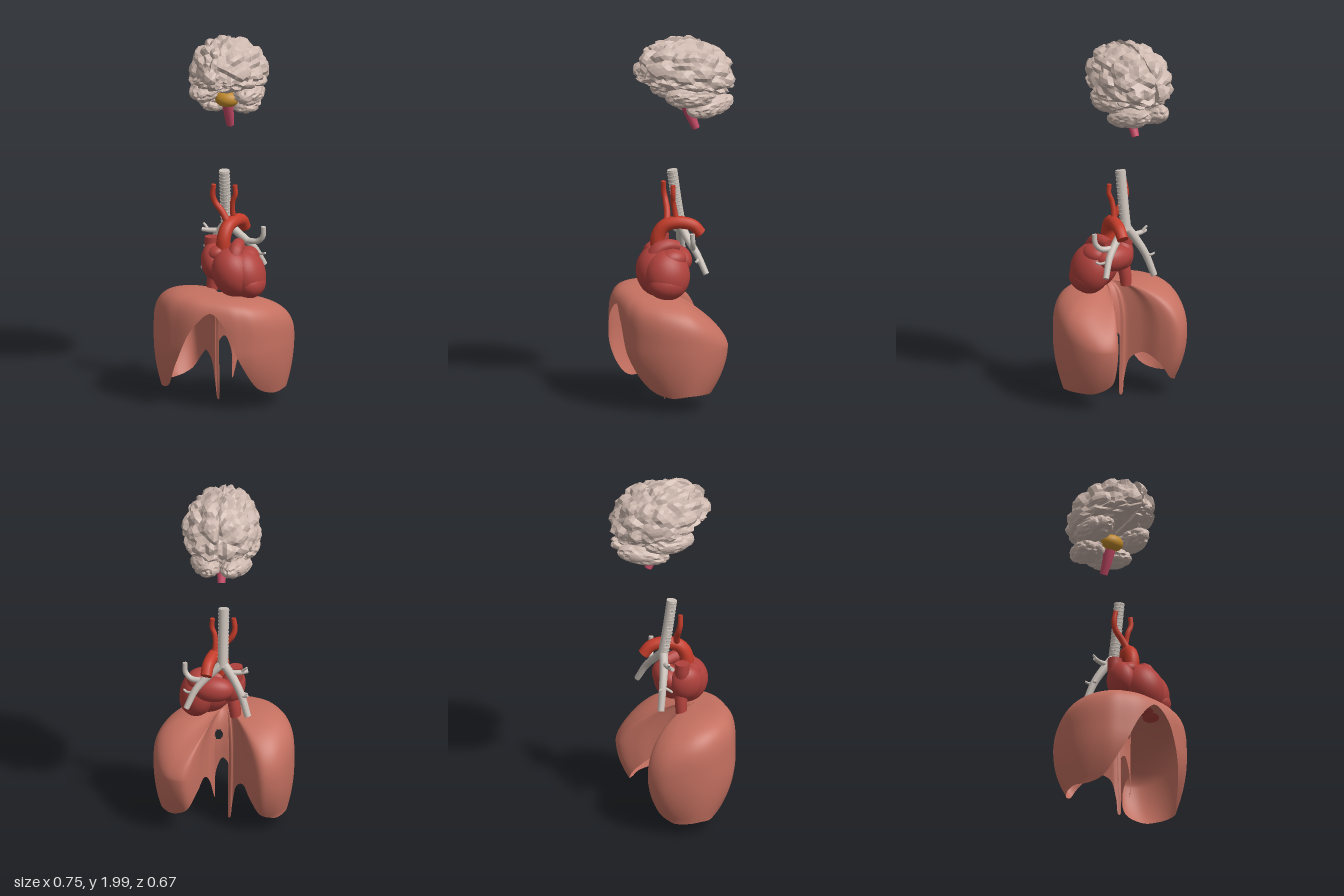
import * as THREE from 'three';

const V = (x, y, z) => new THREE.Vector3(x, y, z);
const mat = (name, color, extra = {}) => {
  const m = new THREE.MeshStandardMaterial({ color, ...extra });
  m.name = name;
  return m;
};

export function createModel() {
  const root = new THREE.Group();
  root.name = 'organs';
  const brainMat = mat('brain tissue', 0xcdb8ae, { flatShading: true });
  const ponsMat = mat('pons amber', 0xc08a2c);
  const stemMat = mat('brainstem pink', 0xc44a66);
  const airwayMat = mat('cartilage', 0xc9c0b8);
  const arteryMat = mat('artery red', 0xc43c2a);
  const heartMat = mat('heart muscle', 0xb0413c);
  const diaphragmMat = mat('diaphragm muscle', 0xc47060, { side: THREE.DoubleSide });

  const group = (name) => {
    const g = new THREE.Group();
    g.name = name;
    root.add(g);
    return g;
  };
  const add = (parent, name, geo, material) => {
    const m = new THREE.Mesh(geo, material);
    m.name = name;
    parent.add(m);
    return m;
  };
  const blob = (parent, name, c, r, material, rz = 0) => {
    const m = add(parent, name, new THREE.SphereGeometry(1, 28, 20), material);
    m.position.set(...c);
    m.scale.set(...r);
    m.rotation.z = rz;
  };
  // Tapering tube through points, closed by flat end discs
  const tube = (parent, name, pts, r0, r1, material) => {
    const curve = new THREE.CatmullRomCurve3(pts.map((p) => V(...p)));
    const n = 28, sides = 14;
    const geo = new THREE.TubeGeometry(curve, n, 1, sides);
    const p = geo.attributes.position, v = V(0, 0, 0);
    for (let i = 0; i < p.count; i++) {
      const t = Math.floor(i / (sides + 1)) / n, c = curve.getPointAt(t);
      v.fromBufferAttribute(p, i).sub(c).multiplyScalar(r0 + (r1 - r0) * t).add(c);
      p.setXYZ(i, v.x, v.y, v.z);
    }
    add(parent, name, geo, material);
    for (const [t, r, s] of [[0, r0, -1], [1, r1, 1]]) {
      const cap = add(parent, name + 'End', new THREE.CircleGeometry(r, sides), material);
      cap.position.copy(curve.getPointAt(t));
      cap.quaternion.setFromUnitVectors(V(0, 0, 1), curve.getTangentAt(t).multiplyScalar(s));
    }
    return curve;
  };

  // ---- Brain: faceted lobes with furrows along cell borders ----
  const brain = group('brain');
  const cellPoints = (count, seed) => {
    let s = seed;
    const rnd = () => (s = (s * 16807) % 2147483647) / 2147483647;
    return Array.from({ length: count }, () => {
      const y = rnd() * 2 - 1, a = rnd() * Math.PI * 2, k = Math.sqrt(1 - y * y);
      return V(k * Math.cos(a), y, k * Math.sin(a));
    });
  };
  const lobe = (name, detail, cells, seed, depth, place) => {
    const geo = new THREE.IcosahedronGeometry(1, detail);
    const p = geo.attributes.position, v = V(0, 0, 0), pts = cellPoints(cells, seed);
    for (let i = 0; i < p.count; i++) {
      v.fromBufferAttribute(p, i).normalize();
      let d1 = 9, d2 = 9;
      for (const c of pts) {
        const d = v.distanceTo(c);
        if (d < d1) { d2 = d1; d1 = d; } else if (d < d2) d2 = d;
      }
      const furrow = 1 + depth * (Math.min(1, (d2 - d1) / 0.18) - 0.85);
      const q = place(v, furrow);
      p.setXYZ(i, q[0], q[1], q[2]);
    }
    geo.computeVertexNormals();
    add(brain, name, geo, brainMat);
  };
  for (const s of [1, -1]) {
    const side = s > 0 ? 'left' : 'right';
    // Flat underside rises towards the forehead
    lobe(side + 'Hemisphere', 9, 80, s > 0 ? 71 : 933, 0.14, (v, f) => {
      const x = Math.max(0.003, s * v.x * 0.213 * f * (1 - 0.12 * v.z));
      const y = v.y > 0 ? v.y * (0.206 - 0.01 * v.z) : -Math.pow(-v.y, 0.75) * (0.105 - 0.03 * v.z);
      return [s * x, 1.792 + 0.025 * v.z + y * f, -0.055 + v.z * 0.277 * f];
    });
    lobe(side + 'TemporalLobe', 5, 30, s > 0 ? 45 : 510, 0.12, (v, f) =>
      [s * 0.122 + v.x * 0.08 * f, 1.698 + v.y * 0.064 * f, -0.05 + v.z * 0.142 * f]);
    // Narrows towards the back
    lobe(side + 'Cerebellum', 5, 30, s > 0 ? 87 : 612, 0.12, (v, f) =>
      [s * Math.max(0.002, (0.078 + s * v.x * 0.088 * f) * (0.95 + 0.25 * v.z)),
        1.626 + (v.y * 0.06 - v.z * 0.02) * f, -0.178 + v.z * 0.138 * f]);
  }
  blob(brain, 'pons', [0, 1.652, -0.05], [0.065, 0.044, 0.05], ponsMat);
  tube(brain, 'brainstem', [[0, 1.65, -0.06], [0, 1.57, -0.088], [0, 1.492, -0.122]], 0.034, 0.021, stemMat);

  // ---- Windpipe with open-backed cartilage rings, and its branches ----
  const airway = group('airway');
  const trachea = tube(airway, 'trachea', [[0, 1.272, 0.013], [0, 1.1, -0.012], [0, 0.95, -0.038]], 0.028, 0.028, airwayMat);
  const arc = Math.PI * 1.35;
  const ringGeo = new THREE.TorusGeometry(0.0275, 0.003, 6, 20, arc).rotateZ((Math.PI - arc) / 2);
  for (let i = 0; i < 15; i++) {
    const t = 0.03 + i * 0.062;
    const ring = add(airway, 'tracheaRing', ringGeo, airwayMat);
    ring.position.copy(trachea.getPointAt(t));
    ring.quaternion.setFromUnitVectors(V(0, 0, 1), trachea.getTangentAt(t));
  }
  const branches = [
    ['leftBronchus', [[0, 0.97, -0.035], [0.07, 0.905, -0.05], [0.14, 0.83, -0.08], [0.19, 0.73, -0.115]], 0.024, 0.016],
    ['leftUpperBranch', [[0.1, 0.87, -0.06], [0.17, 0.875, -0.045], [0.2, 0.905, -0.035], [0.205, 0.96, -0.03]], 0.017, 0.013],
    ['leftTwig', [[0.15, 0.81, -0.085], [0.19, 0.8, -0.06], [0.21, 0.81, -0.05]], 0.009, 0.006],
    ['rightBronchus', [[0, 0.97, -0.035], [-0.05, 0.9, -0.05], [-0.1, 0.81, -0.075], [-0.14, 0.69, -0.1]], 0.025, 0.018],
    ['rightUpperBranch', [[-0.035, 0.92, -0.045], [-0.09, 0.92, -0.04], [-0.135, 0.925, -0.03]], 0.016, 0.011],
    ['rightTwig', [[-0.1, 0.92, -0.04], [-0.115, 0.94, -0.045], [-0.13, 0.955, -0.05]], 0.009, 0.006],
    ['rightMiddleTwig', [[-0.1, 0.81, -0.075], [-0.12, 0.8, -0.05], [-0.13, 0.785, -0.03]], 0.009, 0.006],
    ['rightBackTwig', [[-0.1, 0.81, -0.075], [-0.12, 0.805, -0.095], [-0.14, 0.815, -0.105]], 0.009, 0.006],
  ];
  for (const [name, pts, a, b] of branches) tube(airway, name, pts, a, b, airwayMat);

  // ---- Heart chambers and attached great veins ----
  const heart = group('heart');
  blob(heart, 'rightVentricle', [0.075, 0.742, 0.122], [0.115, 0.138, 0.117], heartMat, 0.4);
  blob(heart, 'leftVentricle', [0.142, 0.73, 0.09], [0.1, 0.136, 0.124], heartMat, 0.25);
  blob(heart, 'apex', [0.166, 0.685, 0.1], [0.08, 0.082, 0.107], heartMat, 0.3);
  blob(heart, 'rightAtrium', [-0.042, 0.785, 0.08], [0.068, 0.1, 0.09], heartMat, 0.1);
  blob(heart, 'leftAtrium', [0.055, 0.795, -0.005], [0.11, 0.07, 0.065], heartMat);
  blob(heart, 'leftAuricle', [0.145, 0.82, 0.06], [0.058, 0.05, 0.075], heartMat, -0.3);
  blob(heart, 'rightAuricle', [-0.02, 0.84, 0.115], [0.052, 0.04, 0.05], heartMat, 0.4);
  tube(heart, 'upperVein', [[-0.06, 0.912, 0.05], [-0.06, 0.86, 0.05], [-0.05, 0.8, 0.055]], 0.038, 0.042, heartMat);
  tube(heart, 'lowerVein', [[-0.045, 0.73, 0.05], [-0.055, 0.67, 0.045], [-0.06, 0.615, 0.045]], 0.036, 0.03, heartMat);
  tube(heart, 'pulmonaryTrunk', [[0.085, 0.8, 0.16], [0.09, 0.86, 0.125], [0.09, 0.88, 0.07], [0.08, 0.87, 0.01]], 0.045, 0.03, heartMat);

  // ---- Aortic arch and neck arteries ----
  const arteries = group('arteries');
  tube(arteries, 'aorta', [[0.015, 0.82, 0.1], [0.018, 0.92, 0.1], [0.03, 0.975, 0.065], [0.055, 0.993, -0.005],
    [0.075, 0.975, -0.08], [0.082, 0.93, -0.12]], 0.04, 0.031, arteryMat);
  tube(arteries, 'rightNeckArtery', [[0.025, 1.0, 0.05], [-0.005, 1.05, 0.04], [-0.045, 1.1, 0.035], [-0.057, 1.14, 0.04], [-0.05, 1.2, 0.045]], 0.019, 0.013, arteryMat);
  tube(arteries, 'leftNeckArtery', [[0.05, 1.0, 0.005], [0.045, 1.06, 0.015], [0.05, 1.11, 0.025], [0.065, 1.15, 0.03], [0.062, 1.2, 0.03]], 0.015, 0.013, arteryMat);

  // ---- Diaphragm: dome over a kidney-shaped plan; each entry is x, z, rim height ----
  const rim = [
    [0, 0.338, 0.56], [0.08, 0.335, 0.49], [0.16, 0.318, 0.29], [0.25, 0.27, 0.13], [0.33, 0.17, 0.09], [0.375, 0.03, 0.1],
    [0.355, -0.1, 0.1], [0.29, -0.195, 0.1], [0.2, -0.222, 0.14], [0.135, -0.14, 0.23], [0.1, -0.045, 0.285],
    [0.078, 0.01, 0.24], [0.055, 0.035, 0.13], [0.046, 0.04, 0.28], [0.01, 0.045, 0.365], [-0.022, 0.045, 0.33],
    [-0.036, 0.047, 0.2], [-0.022, 0.047, 0.01], [-0.034, 0.037, 0.01], [-0.048, 0.035, 0.1], [-0.068, 0.015, 0.21],
    [-0.11, -0.045, 0.25], [-0.155, -0.14, 0.21], [-0.23, -0.206, 0.12], [-0.31, -0.165, 0.085], [-0.365, -0.05, 0.085],
    [-0.375, 0.06, 0.09], [-0.345, 0.16, 0.085], [-0.28, 0.25, 0.12], [-0.2, 0.3, 0.27], [-0.1, 0.334, 0.47],
  ];
  const outline = new THREE.CatmullRomCurve3(rim.map((r) => V(...r)), true);
  const cols = 248, domeRows = 40, rows = 56, top = 0.63, cz = 0.15;
  const pos = [], index = [];
  for (let i = 0; i < cols; i++) {
    const { x: ox, y: oz, z: rimY } = outline.getPoint(i / cols);
    // Rounder, lower shoulders at the back, on the left and in the spine valley
    const back = Math.max(0, -oz);
    const valley = oz < 0.1 ? Math.exp(-((ox / 0.12) ** 2)) : 0;
    const n = 3 + oz * 4 - 9 * back * Math.max(0, ox) - 0.8 * valley;
    const base = 0.38 - 0.15 * back, H = top - base, ry = Math.max(0, rimY);
    const aMax = ry > base ? Math.acos(Math.pow((ry - base) / H, n / 2)) : Math.PI / 2;
    for (let j = 0; j <= rows; j++) {
      const a = Math.min(1, j / domeRows) * aMax;
      const r = Math.pow(Math.sin(a), 2 / n);
      let y = base + H * Math.pow(Math.max(0, Math.cos(a)), 2 / n);
      if (j > domeRows) y += Math.min(0, ry - base) * (j - domeRows) / (rows - domeRows);
      const low = Math.min(1, Math.max(0, (0.36 - y) / 0.27)) ** 2;
      const x = ox * r * (1 - 0.1 * low);
      const z = 0.05 + (cz + (oz - cz) * r - 0.05) * (1 - 0.34 * low);
      pos.push(x, y - 0.09 * x * Math.max(0, (y - 0.3) / 0.33), z);
    }
  }
  const at = (i, j) => (i % cols) * (rows + 1) + j;
  for (let i = 0; i < cols; i++) for (let j = 0; j < rows; j++) {
    const a = at(i, j), b = at(i + 1, j), c = at(i + 1, j + 1), d = at(i, j + 1);
    // Gap where the gullet passes through
    const mid = [0, 1, 2].map((k) => (pos[a * 3 + k] + pos[c * 3 + k]) / 2);
    if (mid[2] < 0.12 && Math.hypot((mid[0] - 0.03) / 0.021, (mid[1] - 0.5) / 0.027) < 1) continue;
    if (j > 0) index.push(a, b, d);
    index.push(b, c, d);
  }
  const dome = new THREE.BufferGeometry();
  dome.setAttribute('position', new THREE.Float32BufferAttribute(pos, 3));
  // Reversed so the upper side faces outward
  dome.setIndex(index.reverse());
  dome.computeVertexNormals();
  add(root, 'diaphragm', dome, diaphragmMat);

  return root;
}
